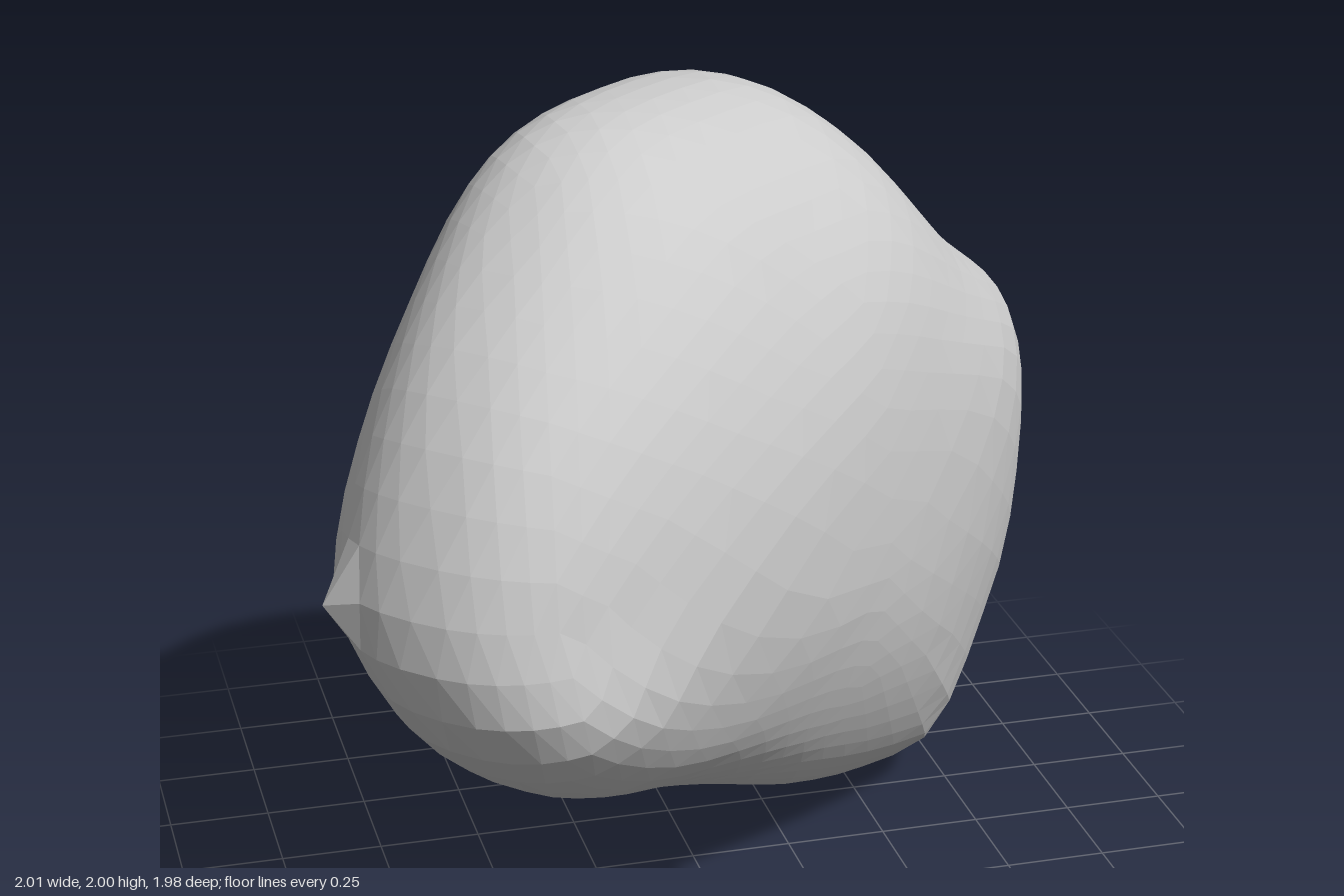
import * as THREE from 'three';
import { mergeVertices } from 'three/addons/utils/BufferGeometryUtils.js';

// Broad-side outline of the boulder: (distance along its long axis, height)
const OUTLINE = [
  [1.26, 0.6], [1.24, 0.9], [1.19, 1.15], [1.1, 1.3], [0.95, 1.4], [0.77, 1.52], [0.62, 1.66],
  [0.42, 1.86], [0.23, 1.97], [-0.05, 2], [-0.36, 1.98], [-0.56, 1.89], [-0.92, 1.6],
  [-1.1, 1.36], [-1.2, 1.12], [-1.2, 0.95], [-1.12, 0.8], [-0.95, 0.65], [-0.77, 0.54],
  [-0.5, 0.44], [-0.14, 0.29], [0.2, 0.15], [0.5, 0.07], [0.74, 0.04], [0.9, 0.12],
  [1.1, 0.29], [1.22, 0.43],
];
const CENTER_Y = 1.02;
const { lerp, smoothstep } = THREE.MathUtils;

// Radius of the outline in a given direction, from a smooth closed curve
function makeRadius() {
  const curve = new THREE.CatmullRomCurve3(
    OUTLINE.map(([u, y]) => new THREE.Vector3(u, y - CENTER_Y, 0)), true);
  const polar = curve.getPoints(300)
    .map((p) => ({ a: Math.atan2(p.y, p.x), r: Math.hypot(p.x, p.y) }))
    .sort((p, q) => p.a - q.a);
  return (angle) => {
    const i = Math.max(0, polar.findIndex((p) => p.a >= angle));
    const hi = polar[i];
    const lo = polar[(i + polar.length - 1) % polar.length];
    const span = hi.a - lo.a;
    const t = span > 1e-6 ? (angle - lo.a) / span : 0;
    return lerp(lo.r, hi.r, t);
  };
}

// Plain oval that the outline relaxes into towards the middle of the broad faces
const ovalRadius = (angle) => 1 / Math.hypot(Math.cos(angle) / 1.23, Math.sin(angle) / 0.95);

// Sideways position of the middle plane: wavers along the length, leans at crest
// and keel, and swings outwards under the narrow end
function middle(u, h) {
  const undercut = smoothstep(-u, 0.5, 1.15) * smoothstep(-h, -0.1, 0.2);
  return 0.01 + 0.02 * Math.sin(2.6 * u) - 0.11 * h * h * h + 0.08 * undercut;
}

// Gentle unevenness of the stone
const bumps = (x, y, z) => 0.006 * Math.sin(7 * x + 4 * z) * Math.sin(6 * y + 1);

// Pull the nearest corner out to a small sharp tip
function pullTip(pos, tip) {
  const p = new THREE.Vector3();
  let best = 0, bestDistance = Infinity;
  for (let i = 0; i < pos.count; i++) {
    const d = p.fromBufferAttribute(pos, i).distanceTo(tip);
    if (d < bestDistance) { best = i; bestDistance = d; }
  }
  pos.setXYZ(best, tip.x, tip.y, tip.z);
}

export function createModel() {
  const group = new THREE.Group();
  group.name = 'rock';

  const ball = new THREE.IcosahedronGeometry(1, 10);
  ball.deleteAttribute('uv');
  ball.deleteAttribute('normal');
  const geometry = mergeVertices(ball, 1e-4);
  const pos = geometry.attributes.position;
  const radius = makeRadius();

  // Reshape the ball: outline in the broad plane, inflated across it, turned 45 degrees
  for (let i = 0; i < pos.count; i++) {
    const a = pos.getX(i), b = pos.getY(i), c = pos.getZ(i);
    const angle = Math.atan2(b, a);
    const rise = Math.sin(angle);
    // blunt ends, rounder crest and a bevelled underside
    const roundness = 2 / (2.4 - 0.2 * rise * rise - 0.35 * Math.max(0, -rise));
    const spread = Math.pow(Math.min(1, Math.hypot(a, b)), roundness);
    const depth = Math.sign(c) * Math.pow(Math.abs(c), roundness);
    const r = spread * lerp(ovalRadius(angle), radius(angle), spread);
    const u = r * Math.cos(angle);
    const h = r * rise;
    const v = (0.53 + 0.02 * u) * depth + middle(u, h) + bumps(a, b, c);
    pos.setXYZ(i, (u + v) * Math.SQRT1_2, CENTER_Y + h, (v - u) * Math.SQRT1_2);
  }
  pullTip(pos, new THREE.Vector3(0.6, 0, -0.47));
  pullTip(pos, new THREE.Vector3(-1, 1.1, 0.65));
  geometry.computeVertexNormals();

  const boulder = new THREE.Mesh(geometry,
    new THREE.MeshStandardMaterial({ color: 0xcccccc, flatShading: true }));
  boulder.name = 'boulder';
  group.add(boulder);
  return group;
}
